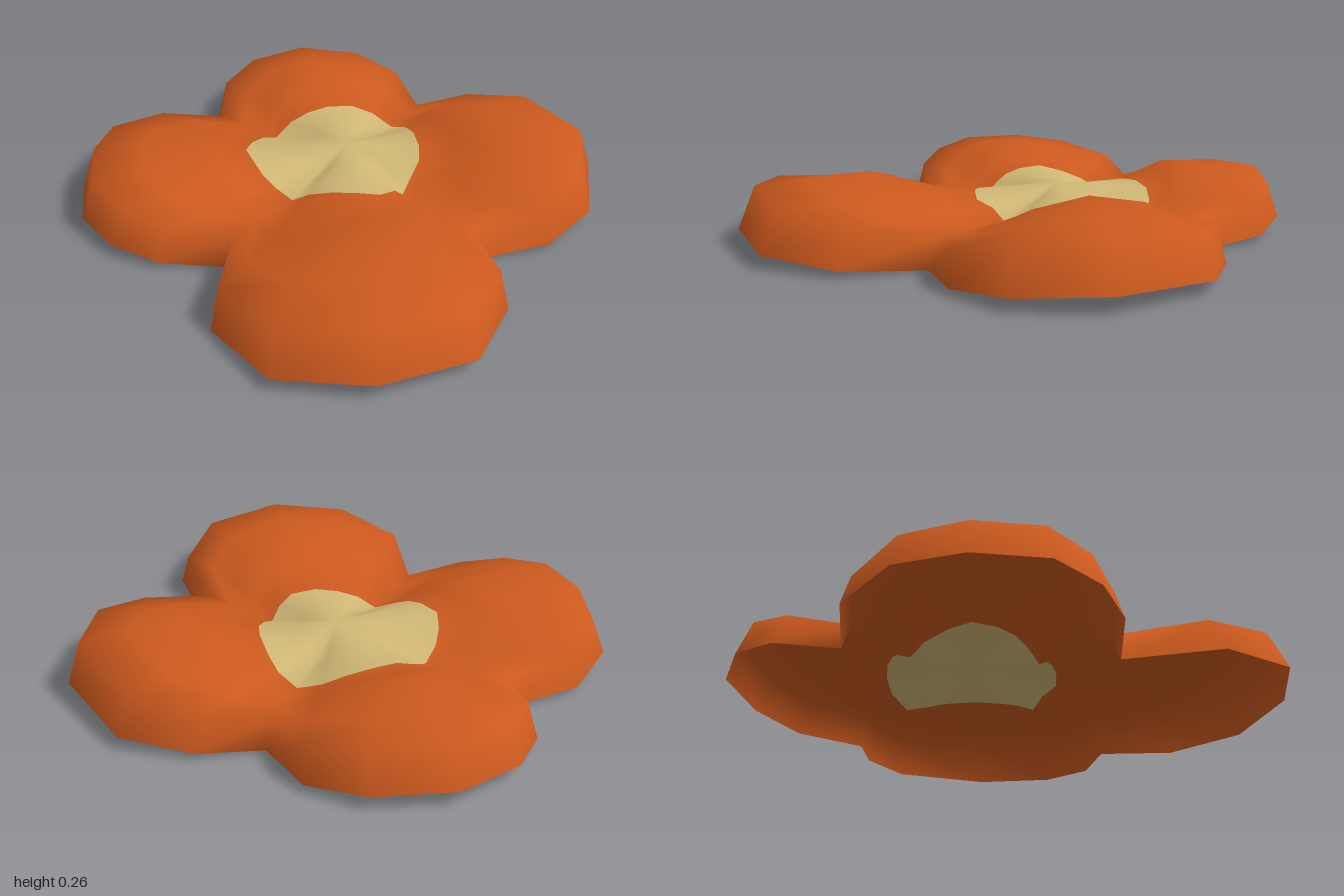
import * as THREE from 'three';

const CENTRE = [0.03, -0.13];
const CENTRE_Y = 0.185;

// Each petal: crown and shoulder heights, then rim points [x, z, fullness], starting at the notch before it.
const PETALS = [
  { crown: 0.26, shoulder: 0.21, rim: [[0.42, -0.53, 0], [0.64, -0.5, 0.4], [0.85, -0.36, 0.75], [0.95, 0, 1], [0.84, 0.28, 0.75], [0.64, 0.41, 0.35]] },
  { crown: 0.248, shoulder: 0.21, rim: [[0.38, 0.42, 0], [0.39, 0.71, 0.4], [0.22, 0.94, 0.8], [-0.1, 1, 1], [-0.4, 0.9, 0.74], [-0.55, 0.63, 0.35]] },
  { crown: 0.222, shoulder: 0.2, rim: [[-0.47, 0.3, 0], [-0.7, 0.26, 0.4], [-0.85, 0.16, 0.75], [-0.95, 0, 1], [-0.95, -0.24, 1], [-0.88, -0.45, 0.75], [-0.68, -0.59, 0.4]] },
  { crown: 0.232, shoulder: 0.19, rim: [[-0.43, -0.59, 0], [-0.39, -0.81, 0.45], [-0.25, -0.94, 0.85], [-0.02, -1, 1], [0.23, -0.92, 0.85], [0.38, -0.77, 0.45]] },
];

// Outline of the pale heart of the flower
const HEART = [[0.07, -0.455], [0.2, -0.42], [0.295, -0.32], [0.31, -0.16], [0.285, -0.02], [0.2, 0.105], [0.095, 0.19],
  [-0.03, 0.17], [-0.19, 0.095], [-0.295, 0.005], [-0.35, -0.16], [-0.295, -0.3], [-0.155, -0.41]];

// Distance from the centre to the heart outline along a unit direction
function heartRadius(dx, dz) {
  for (let i = 0; i < HEART.length; i++) {
    const a = HEART[i], b = HEART[(i + 1) % HEART.length];
    const ax = a[0] - CENTRE[0], az = a[1] - CENTRE[1];
    const ex = b[0] - a[0], ez = b[1] - a[1];
    const det = dx * ez - dz * ex;
    const r = (ax * ez - az * ex) / det;
    const s = (ax * dz - az * dx) / det;
    if (r > 0 && s >= 0 && s <= 1) return r;
  }
  return 0.3;
}

// Piecewise linear height along a profile of [t, y]
function sample(profile, t) {
  for (let i = 1; i < profile.length; i++) {
    const [t0, y0] = profile[i - 1], [t1, y1] = profile[i];
    if (t <= t1) return y0 + (y1 - y0) * (t - t0) / (t1 - t0);
  }
  return profile[profile.length - 1][1];
}

// Heights from the slightly domed centre out to the notches, and over the petal crowns to their tips
const SHOULDER = 0.945;
const VALLEY = [[0, CENTRE_Y], [0.23, 0.14], [0.45, 0.092], [SHOULDER, 0.1], [1, 0]];
const ridge = ({ crown, shoulder }) => [[0, CENTRE_Y], [0.3, 0.16], [0.4, 0.172], [0.59, crown], [SHOULDER, shoulder], [1, 0.058]];

export function createModel() {
  const petalOrange = new THREE.MeshStandardMaterial({ color: 0xcb591e, side: THREE.DoubleSide });
  petalOrange.name = 'petalOrange';
  const heartYellow = new THREE.MeshStandardMaterial({ color: 0xcfb775, side: THREE.DoubleSide });
  heartYellow.name = 'heartYellow';

  // Rays from the centre to the rim, with rings: inner heart, heart edge, mid, crown, outer, shoulder, rim
  const positions = [CENTRE[0], CENTRE_Y, CENTRE[1]];
  const RINGS = 7;
  let rays = 0;
  for (const petal of PETALS) {
    const top = ridge(petal);
    for (const [x, z, fullness] of petal.rim) {
      const dx = x - CENTRE[0], dz = z - CENTRE[1];
      const R = Math.hypot(dx, dz);
      const edge = heartRadius(dx / R, dz / R) / R;
      const crownT = Math.max(0.59, edge + 0.1);
      const ts = [edge / 2, edge, (edge + crownT) / 2, crownT, (crownT + SHOULDER) / 2, SHOULDER, 1];
      for (const t of ts) {
        const low = sample(VALLEY, t);
        // Petals are more pointed across the crown than at the shoulder
        const w = t < SHOULDER ? fullness ** 1.2 : fullness;
        positions.push(CENTRE[0] + dx * t, low + w * (sample(top, t) - low), CENTRE[1] + dz * t);
      }
      rays++;
    }
  }

  // Faces, heart first and petals after
  const heart = [], petals = [];
  const at = (ray, ring) => 1 + (ray % rays) * RINGS + ring;
  for (let i = 0; i < rays; i++) {
    heart.push(0, at(i + 1, 0), at(i, 0));
    for (let k = 0; k < RINGS - 1; k++) {
      const a = at(i, k), b = at(i + 1, k), c = at(i + 1, k + 1), d = at(i, k + 1);
      (k === 0 ? heart : petals).push(a, b, c, a, c, d);
    }
  }

  const geometry = new THREE.BufferGeometry();
  geometry.setAttribute('position', new THREE.Float32BufferAttribute(positions, 3));
  geometry.setIndex([...heart, ...petals]);
  geometry.addGroup(0, heart.length, 0);
  geometry.addGroup(heart.length, petals.length, 1);
  geometry.computeVertexNormals();

  const blossom = new THREE.Mesh(geometry, [heartYellow, petalOrange]);
  blossom.name = 'blossom';
  const group = new THREE.Group();
  group.name = 'flower';
  group.add(blossom);
  return group;
}
